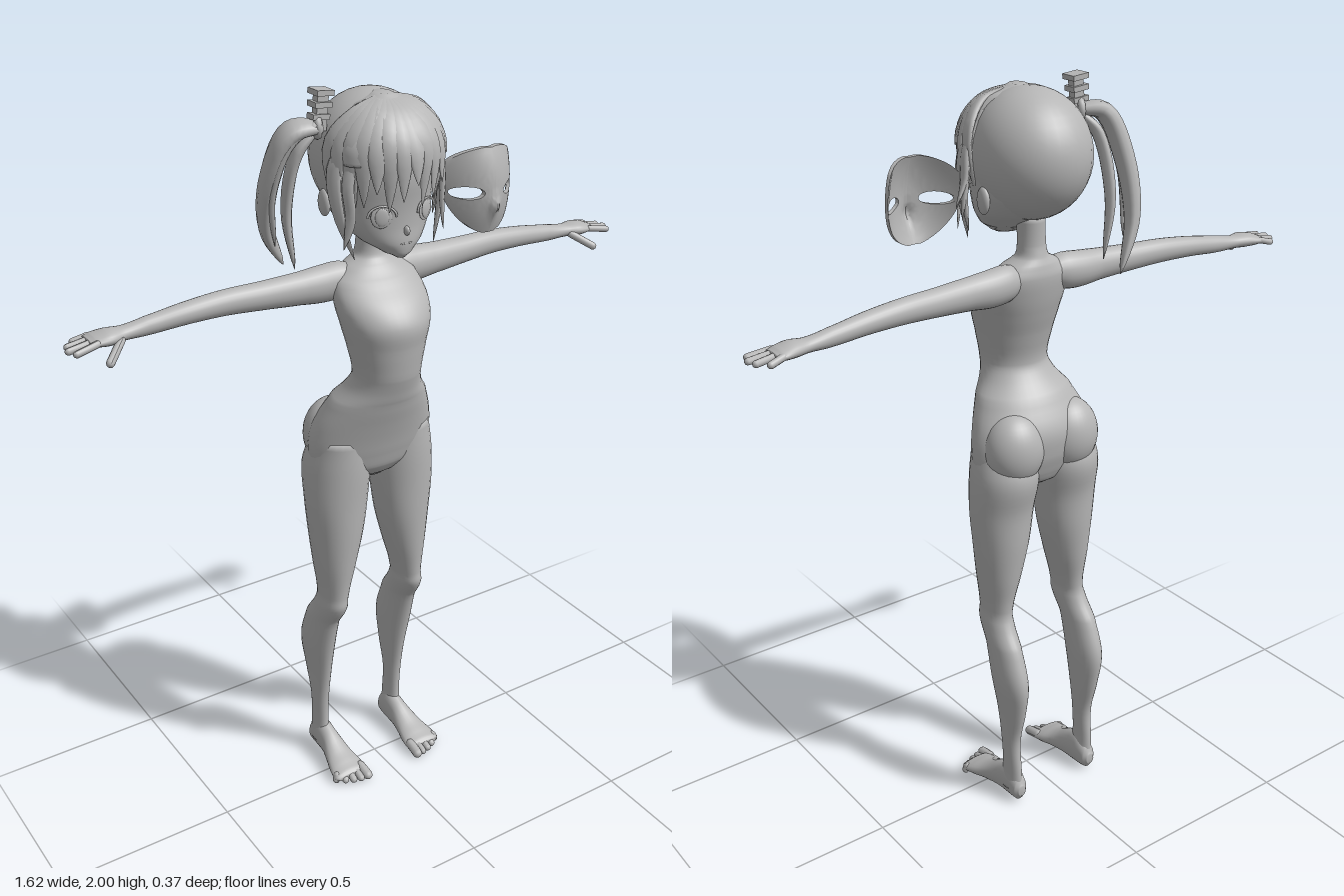
import * as THREE from 'three';
import { toCreasedNormals } from 'three/addons/utils/BufferGeometryUtils.js';

const V = (x, y, z) => new THREE.Vector3(x, y, z);
const grey = new THREE.MeshStandardMaterial({ color: 0xb6b6b6 });
grey.name = 'plain grey';

// Joins rings of points into a closed smooth skin; rings run counter-clockwise about their direction.
function skin(rings, caps = true) {
  const n = rings[0].length, pos = [], idx = [];
  rings.forEach(r => r.forEach(p => pos.push(p.x, p.y, p.z)));
  for (let j = 0; j < rings.length - 1; j++) for (let i = 0; i < n; i++) {
    const a = j * n + i, b = j * n + (i + 1) % n;
    idx.push(a, b, a + n, b, b + n, a + n);
  }
  if (caps) [0, rings.length - 1].forEach((j, end) => {
    const c = rings[j].reduce((s, p) => s.add(p), V(0, 0, 0)).divideScalar(n), k = pos.length / 3;
    pos.push(c.x, c.y, c.z);
    for (let i = 0; i < n; i++) {
      const a = j * n + i, b = j * n + (i + 1) % n;
      if (end) idx.push(a, b, k); else idx.push(b, a, k);
    }
  });
  const g = new THREE.BufferGeometry();
  g.setAttribute('position', new THREE.Float32BufferAttribute(pos, 3));
  g.setIndex(idx);
  g.computeVertexNormals();
  return g;
}

// Smooth loft along an axis. Sections, ascending: [t, uMin, uMax, vMin, vMax];
// (u, v) is (z, x) for axis y, (x, y) for axis z and (y, z) for axis x.
function loft(axis, sections, n = 28, sub = 5) {
  const cr = (a, b, c, d, t) => 0.5 * (2 * b + (c - a) * t + (2 * a - 5 * b + 4 * c - d) * t * t + (3 * b - a - 3 * c + d) * t * t * t);
  const at = i => sections[Math.max(0, Math.min(sections.length - 1, i))];
  const rings = [];
  for (let s = 0; s <= (sections.length - 1) * sub; s++) {
    const i = Math.min(Math.floor(s / sub), sections.length - 2), f = s / sub - i;
    const [t, u0, u1, v0, v1] = at(i).map((_, k) => k
      ? cr(at(i - 1)[k], at(i)[k], at(i + 1)[k], at(i + 2)[k], f)
      : at(i)[0] + (at(i + 1)[0] - at(i)[0]) * f);
    const ring = [];
    for (let q = 0; q < n; q++) {
      const a = q / n * Math.PI * 2;
      const u = (u0 + u1) / 2 + Math.cos(a) * (u1 - u0) / 2, v = (v0 + v1) / 2 + Math.sin(a) * (v1 - v0) / 2;
      ring.push(axis === 'y' ? V(v, t, u) : axis === 'z' ? V(u, v, t) : V(t, u, v));
    }
    rings.push(ring);
  }
  return skin(rings);
}

// Tapered flat strand along a curve, with its flat side facing away from a centre.
function strand(points, width, thick, centre, taper, n = 8, steps = 14) {
  const curve = new THREE.CatmullRomCurve3(points), rings = [];
  for (let j = 0; j <= steps; j++) {
    const t = j / steps, p = curve.getPoint(t), T = curve.getTangent(t);
    const N = p.clone().sub(centre);
    N.addScaledVector(T, -N.dot(T)).normalize();
    const B = T.clone().cross(N), f = taper(t), ring = [];
    for (let i = 0; i < n; i++) {
      const a = i / n * Math.PI * 2;
      ring.push(p.clone().addScaledVector(N, Math.cos(a) * thick * f).addScaledVector(B, Math.sin(a) * width * f));
    }
    rings.push(ring);
  }
  return skin(rings);
}

function mirror(geometry) {
  const g = geometry.clone().scale(-1, 1, 1);
  if (!g.index) g.setIndex([...Array(g.attributes.position.count).keys()]);
  const a = g.index.array;
  for (let i = 0; i < a.length; i += 3) [a[i], a[i + 1]] = [a[i + 1], a[i]];
  g.computeVertexNormals();
  return g;
}

const ball = (x, y, z, rx, ry, rz) => new THREE.SphereGeometry(1, 32, 22).scale(rx, ry, rz).translate(x, y, z);

function digit(a, b, r) {
  const d = b.clone().sub(a);
  const g = new THREE.CapsuleGeometry(r, d.length(), 5, 10);
  g.applyQuaternion(new THREE.Quaternion().setFromUnitVectors(V(0, 1, 0), d.normalize()));
  return g.translate((a.x + b.x) / 2, (a.y + b.y) / 2, (a.z + b.z) / 2);
}

export function createModel() {
  const model = new THREE.Group();
  const add = (name, geometry) => {
    const m = new THREE.Mesh(geometry, grey);
    m.name = name;
    model.add(m);
  };
  const pair = (name, g) => { add(name + 'Left', g); add(name + 'Right', mirror(g)); };

  // Mannequin torso and neck: y, half width, back, front
  add('torso', loft('y', [
    [0.95, 0.04, -0.06, 0.01], [0.97, 0.1, -0.09, 0.035], [1.0, 0.165, -0.105, 0.055], [1.05, 0.183, -0.12, 0.07],
    [1.12, 0.172, -0.122, 0.09], [1.2, 0.135, -0.082, 0.115], [1.24, 0.104, -0.046, 0.128], [1.28, 0.092, -0.025, 0.14],
    [1.36, 0.106, -0.04, 0.15], [1.42, 0.12, -0.058, 0.155], [1.47, 0.126, -0.07, 0.125], [1.52, 0.115, -0.076, 0.07],
    [1.55, 0.08, -0.07, 0.038], [1.57, 0.044, -0.062, 0.02], [1.6, 0.037, -0.055, 0.015], [1.67, 0.036, -0.055, 0.02],
  ].map(([y, w, b, f]) => [y, b, f, -w, w]), 36));
  pair('hip', ball(0.088, 1.075, -0.062, 0.085, 0.1, 0.077));

  // Legs: y, back, front, inner x, outer x
  pair('leg', loft('y', [
    [0.04, -0.14, -0.055, 0.1, 0.15], [0.1, -0.138, -0.068, 0.106, 0.147], [0.2, -0.132, -0.065, 0.104, 0.15],
    [0.3, -0.155, -0.05, 0.097, 0.158], [0.4, -0.166, -0.03, 0.09, 0.17], [0.5, -0.132, -0.005, 0.09, 0.168],
    [0.56, -0.092, 0.03, 0.086, 0.164], [0.6, -0.082, 0.032, 0.083, 0.16], [0.7, -0.096, 0.042, 0.057, 0.172],
    [0.8, -0.107, 0.05, 0.032, 0.183], [0.9, -0.113, 0.055, 0.017, 0.192], [1.0, -0.13, 0.06, 0.008, 0.19],
    [1.09, -0.1, 0.06, 0.02, 0.172],
  ]));

  // Feet: z, inner x, outer x, bottom, top
  pair('foot', loft('z', [
    [-0.147, 0.112, 0.136, 0.025, 0.055], [-0.135, 0.102, 0.146, 0.008, 0.08], [-0.1, 0.096, 0.15, 0.004, 0.108],
    [-0.05, 0.093, 0.154, 0.004, 0.092], [0, 0.085, 0.167, 0.004, 0.062], [0.04, 0.077, 0.178, 0.001, 0.045],
    [0.07, 0.077, 0.18, 0.002, 0.034], [0.08, 0.085, 0.172, 0.008, 0.025],
  ], 24));
  for (let i = 0; i < 5; i++) {
    const r = i ? 0.0105 : 0.014;
    pair('toe' + (i + 1), digit(V(0.09 + i * 0.02, 0.022, 0.06), V(0.088 + i * 0.0215, r, 0.099 - i * i * 0.0022), r));
  }

  // Arms and palms: x, bottom, top, back, front
  pair('arm', loft('x', [
    [0.05, 1.48, 1.552, -0.06, 0.01], [0.09, 1.465, 1.56, -0.07, 0.012], [0.14, 1.462, 1.557, -0.073, 0.008],
    [0.2, 1.468, 1.552, -0.07, 0.002], [0.3, 1.475, 1.547, -0.073, -0.008], [0.4, 1.48, 1.544, -0.078, -0.018],
    [0.5, 1.479, 1.534, -0.08, -0.025], [0.6, 1.473, 1.519, -0.08, -0.034], [0.66, 1.474, 1.509, -0.082, -0.034],
    [0.7, 1.472, 1.51, -0.093, -0.022], [0.735, 1.476, 1.503, -0.1, -0.024], [0.75, 1.482, 1.497, -0.093, -0.032],
  ], 24));
  [0.77, 0.793, 0.8, 0.79].forEach((x, i) => {
    const z = -0.091 + i * 0.02;
    pair('finger' + (i + 1), digit(V(0.735, 1.49, z), V(x, 1.481, z * 1.25 + 0.017), 0.0088));
  });
  pair('thumb', digit(V(0.675, 1.484, -0.036), V(0.722, 1.452, 0.004), 0.0105));

  // Head: y, half width, back, front
  add('face', loft('y', [
    [1.6, 0.012, 0.1, 0.128], [1.612, 0.036, 0.055, 0.138], [1.64, 0.078, 0.0, 0.142], [1.68, 0.115, -0.07, 0.14],
    [1.73, 0.134, -0.12, 0.143], [1.8, 0.142, -0.14, 0.152], [1.87, 0.135, -0.13, 0.145], [1.93, 0.09, -0.08, 0.1],
  ].map(([y, w, b, f]) => [y, b, f, -w, w]), 36));
  add('skull', ball(0, 1.822, -0.012, 0.15, 0.161, 0.165));
  add('nose', ball(0, 1.672, 0.141, 0.007, 0.012, 0.012));
  add('mouth', digit(V(-0.014, 1.64, 0.14), V(0.014, 1.64, 0.14), 0.0022));
  pair('ear', ball(0.137, 1.725, -0.01, 0.012, 0.034, 0.022));
  const onFace = (g, dz = 0) => g.rotateY(0.38).translate(0.063, 1.712, 0.127 + dz);
  pair('eye', onFace(ball(0, 0, 0, 0.026, 0.028, 0.004)));
  pair('iris', onFace(ball(0, 0, 0, 0.017, 0.022, 0.004), 0.003));
  pair('lash', onFace(new THREE.TorusGeometry(0.032, 0.003, 6, 20, Math.PI).scale(1.1, 0.85, 1), 0.004));

  // Fringe: strands fanning from the crown over the brow
  const centre = V(0, 1.82, 0), leaf = t => Math.max(0.03, Math.pow(Math.sin(Math.PI * (0.14 + 0.86 * t)), 0.75));
  const over = (a, e, k = 1) => V(Math.sin(a) * Math.cos(e) * 0.15 * k, 1.82 + Math.sin(e) * 0.158 * k, Math.cos(a) * Math.cos(e) * 0.163 * k + 0.012);
  for (let i = 0; i < 15; i++) {
    const a = (i - 7) * 0.2, drop = [-0.35, -0.15, -0.5][i % 3] - Math.abs(i - 7) * 0.03;
    add('fringe' + (i + 1), strand([over(a * 0.3, 1.3), over(a * 0.75, 0.85, 1.04), over(a, 0.35, 1.06), over(a * 1.03, drop, 1.1)],
      0.031, 0.011, centre, leaf));
  }
  add('frontHair', loft('y', [
    [1.84, 0.02, 0.162, -0.142, 0.142], [1.88, 0, 0.16, -0.141, 0.141], [1.92, -0.01, 0.143, -0.12, 0.12],
    [1.96, -0.01, 0.105, -0.078, 0.078], [1.982, 0.01, 0.06, -0.02, 0.02],
  ]));

  // Side locks framing the cheeks, and flicks on the left
  pair('sideLock', strand([V(0.1, 1.92, 0.08), V(0.15, 1.83, 0.06), V(0.147, 1.72, 0.07), V(0.115, 1.605, 0.09)], 0.022, 0.01, centre, leaf));
  pair('innerLock', strand([V(0.1, 1.91, 0.1), V(0.135, 1.8, 0.095), V(0.132, 1.71, 0.1), V(0.145, 1.635, 0.09)], 0.016, 0.008, centre, leaf));
  for (let i = 0; i < 3; i++) add('flick' + (i + 1), strand(
    [V(0.1, 1.93, 0.04), V(0.152, 1.84 - i * 0.02, 0.04), V(0.165, 1.77 - i * 0.02, 0.03), V(0.2 - i * 0.018, 1.71 - i * 0.03, 0.015)],
    0.021, 0.01, centre, leaf));

  // Side ponytail with its tie and stacked clip
  const tail = t => Math.max(0.05, Math.pow(Math.sin(Math.PI * (0.1 + 0.9 * t)), 0.6)), inner = V(-0.1, 1.72, -0.02);
  add('ponytail', strand([V(-0.14, 1.91, -0.01), V(-0.21, 1.9, -0.035), V(-0.243, 1.79, -0.08), V(-0.232, 1.65, -0.13), V(-0.165, 1.525, -0.17)],
    0.05, 0.026, inner, tail, 12, 24));
  add('ponytailUnder', strand([V(-0.15, 1.9, -0.02), V(-0.19, 1.85, -0.04), V(-0.205, 1.7, -0.075), V(-0.18, 1.54, -0.085)],
    0.028, 0.016, inner, tail, 10, 18));
  add('ponytailOuter', strand([V(-0.16, 1.92, 0), V(-0.222, 1.88, -0.02), V(-0.252, 1.76, -0.06), V(-0.22, 1.6, -0.11)],
    0.022, 0.014, inner, tail, 10, 18));
  add('hairTie', new THREE.TorusGeometry(0.022, 0.01, 8, 18).rotateY(1.2).translate(-0.15, 1.91, -0.015));
  add('clipPost', new THREE.BoxGeometry(0.03, 0.09, 0.022).rotateZ(-0.1).translate(-0.143, 1.945, -0.012));
  for (let i = 0; i < 3; i++) add('clipBar' + (i + 1),
    new THREE.BoxGeometry(0.046, 0.013, 0.03 + i * 0.008).rotateZ(-0.1).translate(-0.147 + i * 0.004, 1.934 + i * 0.028, -0.012));

  // Floating mask: each half runs from its eye hole out to the rim, then is bent
  const inside = (x, y) => x >= 0 && (x / (0.103 + y * 0.22)) ** 2 + Math.abs(y / 0.11) ** 2.4 < 1;
  const rows = 7, n = 48, rings = [];
  const maskRing = (k, back) => Array.from({ length: n }, (_, i) => {
    const a = i / n * Math.PI * 2, c = Math.cos(a), s = Math.sin(a);
    let lo = 0, hi = 0.3;
    for (let q = 0; q < 24; q++) {
      const m = (lo + hi) / 2;
      if (inside(0.062 + c * m, s * m)) lo = m; else hi = m;
    }
    const x = 0.062 + THREE.MathUtils.lerp(c * 0.034, c * lo, k), y = THREE.MathUtils.lerp(s * 0.016, s * lo, k);
    const bump = 0.014 * Math.exp(-((x / 0.014) ** 2) - ((y + 0.035) / 0.022) ** 2);
    return V(x, y, -7.5 * x * x - 2 * y * y + bump - (back ? 0.014 : 0));
  });
  for (let j = rows; j >= 0; j--) rings.push(maskRing(j / rows, false));
  for (let j = 0; j <= rows; j++) rings.push(maskRing(j / rows, true));
  rings.push(rings[0]);
  const half = skin(rings, false);
  [['maskLeft', half], ['maskRight', mirror(half)]].forEach(([name, g]) =>
    add(name, toCreasedNormals(g, 0.9).translate(0.265, 1.72, 0.142)));

  return model;
}
